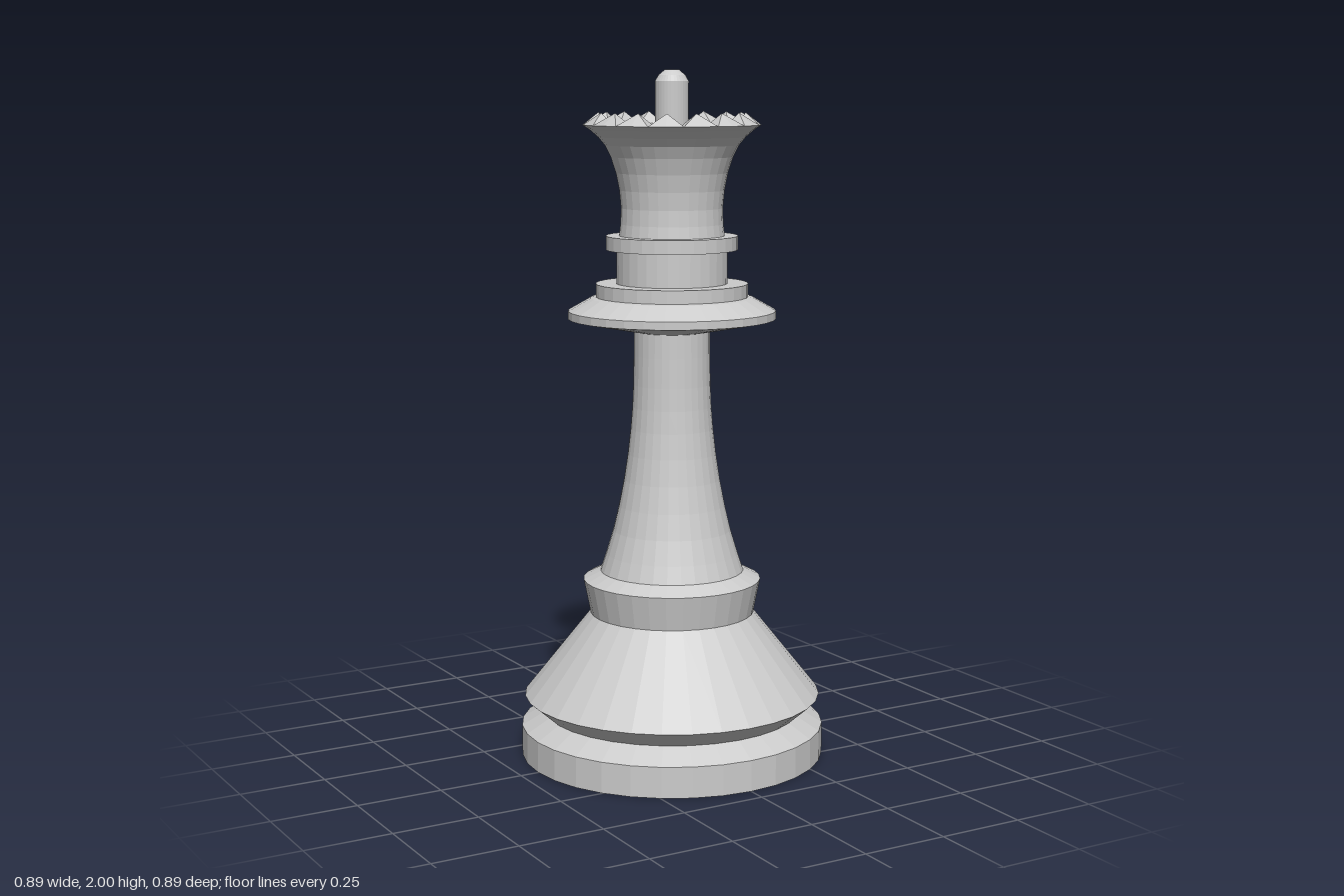
import * as THREE from 'three';

const SIDES = 32;
const RIM_Y = 1.845;

export function createModel() {
  const model = new THREE.Group();
  const material = new THREE.MeshStandardMaterial({ color: 0xcccccc, flatShading: true });

  const add = (name, geometry) => {
    const mesh = new THREE.Mesh(geometry, material);
    mesh.name = name;
    model.add(mesh);
  };
  // Turned part from [radius, height] pairs, bottom to top
  const turned = (name, points) =>
    add(name, new THREE.LatheGeometry(points.map(([r, y]) => new THREE.Vector2(r, y)), SIDES));
  // Smooth run of profile points through a few guides
  const curve = (guides, steps) =>
    new THREE.SplineCurve(guides.map(([r, y]) => new THREE.Vector2(r, y)))
      .getPoints(steps).map((p) => [p.x, p.y]);

  // Foot, bell and lower collar
  turned('base', [[0, 0], [0.445, 0], [0.445, 0.09], [0.378, 0.13]]);
  turned('bell', [[0.378, 0.13], [0.435, 0.18], [0.24, 0.425]]);
  turned('lowerCollar', [[0.24, 0.425], [0.26, 0.525], [0.21, 0.55]]);

  // Slender stem
  turned('stem', curve([[0.21, 0.55], [0.172, 0.67], [0.14, 0.82], [0.12, 0.97], [0.112, 1.1], [0.11, 1.255]], 10));

  // Wide flange with a step, neck and ring
  turned('flange', [[0.11, 1.255], [0.3, 1.292], [0.3, 1.315], [0.235, 1.352], [0.22, 1.355],
    [0.22, 1.393], [0.16, 1.393]]);
  turned('neck', [[0.16, 1.393], [0.16, 1.49]]);
  turned('neckRing', [[0.16, 1.49], [0.19, 1.49], [0.19, 1.53], [0.152, 1.53]]);

  // Flared head
  turned('head', curve([[0.152, 1.53], [0.146, 1.6], [0.156, 1.69], [0.182, 1.77], [0.215, 1.815], [0.255, RIM_Y]], 9));

  add('crown', crownGeometry(16, 0.255, 0.21, 0.188, 1.88));

  // Pin on top
  turned('finial', [[0.048, RIM_Y], [0.048, 1.968], [0.038, 1.985], [0.02, 2], [0, 2]]);

  return model;
}

// Ring of pointed teeth around a flat disc
function crownGeometry(teeth, outer, peak, inner, peakY) {
  const step = (Math.PI * 2) / teeth;
  const at = (r, k, y = RIM_Y) => [r * Math.sin(k * step), y, r * Math.cos(k * step)];
  const corners = [];
  for (let k = 0; k < teeth; k++) {
    const o0 = at(outer, k), o1 = at(outer, k + 0.5), o2 = at(outer, k + 1);
    const i0 = at(inner, k), i2 = at(inner, k + 1);
    const p = at(peak, k + 0.5, peakY);
    corners.push(
      o0, o1, p, o1, o2, p, // outer faces
      o0, p, i0, o2, i2, p, // flanks
      i0, p, i2, // inner face
      i0, i2, [0, RIM_Y, 0], // disc
    );
  }
  const geometry = new THREE.BufferGeometry();
  geometry.setAttribute('position', new THREE.Float32BufferAttribute(corners.flat(), 3));
  geometry.computeVertexNormals();
  return geometry;
}
